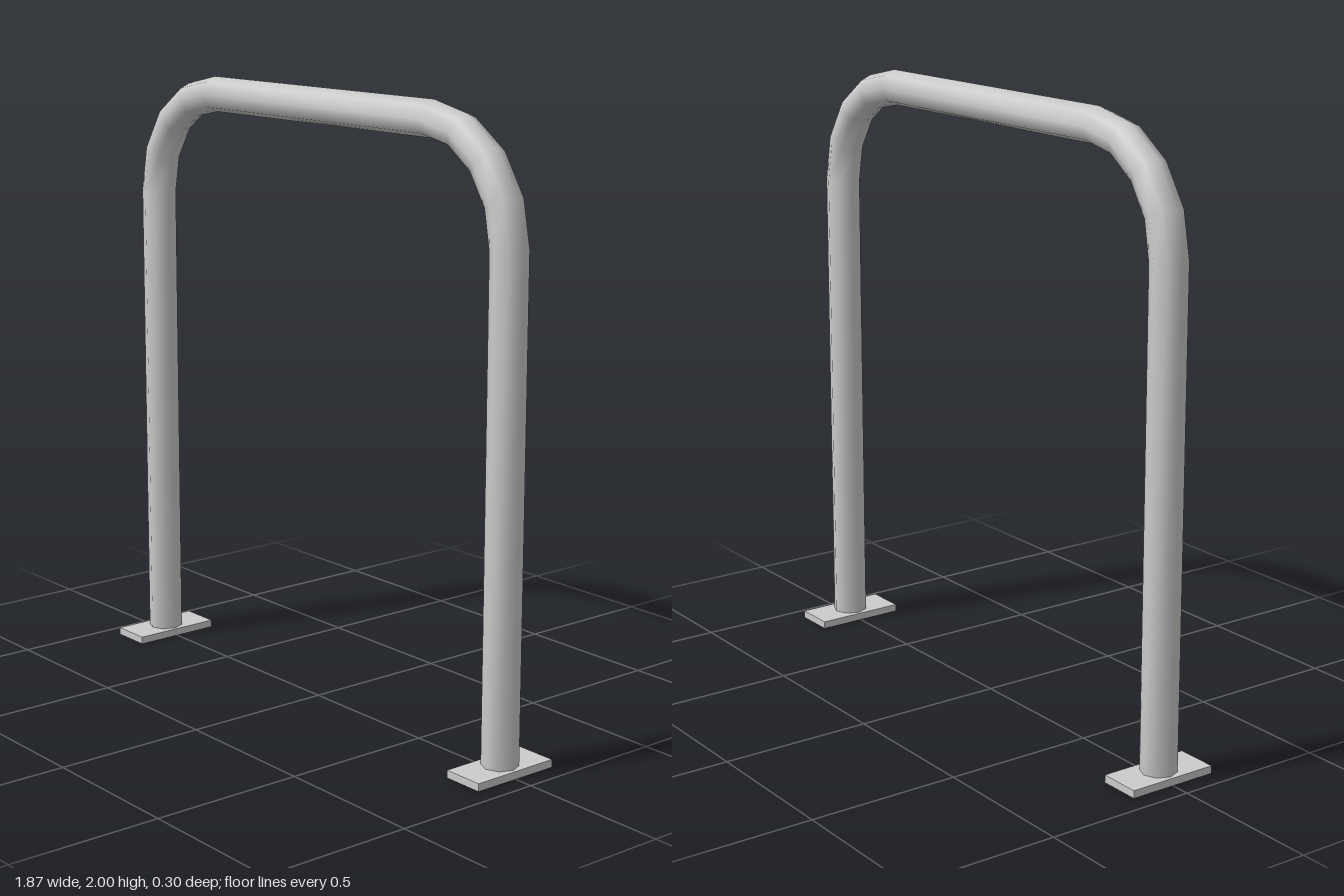
import * as THREE from 'three';

const LEG_X = 0.867, TOP_Y = 1.942, TUBE_R = 0.058, SIDES = 8, PLATE_H = 0.025;

// Centre line of the hoop: leg, four-segment bend, top bar, bend, leg
function hoopPath() {
  const half = [new THREE.Vector2(LEG_X, 0.01)];
  for (let i = 0; i <= 4; i++) {
    const a = (i / 4) * Math.PI / 2;
    half.push(new THREE.Vector2(0.532 + 0.335 * Math.cos(a), 1.59 + 0.352 * Math.sin(a)));
  }
  return [...half, ...half.map(p => new THREE.Vector2(-p.x, p.y)).reverse()];
}

// Sweep an octagonal section along the path with mitred joints
function sweptTube(path) {
  const positions = [], index = [];
  path.forEach((p, i) => {
    const before = p.clone().sub(path[Math.max(i - 1, 0)]).normalize();
    const after = path[Math.min(i + 1, path.length - 1)].clone().sub(p).normalize();
    const t = before.add(after).normalize();
    for (let s = 0; s < SIDES; s++) {
      const a = (s / SIDES) * Math.PI * 2;
      const out = TUBE_R * Math.cos(a);
      positions.push(p.x + t.y * out, p.y - t.x * out, TUBE_R * Math.sin(a));
      if (i === 0) continue;
      const n = (s + 1) % SIDES, r0 = (i - 1) * SIDES, r1 = i * SIDES;
      index.push(r0 + s, r1 + s, r0 + n, r0 + n, r1 + s, r1 + n);
    }
  });
  const geo = new THREE.BufferGeometry();
  geo.setAttribute('position', new THREE.Float32BufferAttribute(positions, 3));
  geo.setIndex(index);
  geo.computeVertexNormals();
  return geo;
}

export function createModel() {
  const group = new THREE.Group();
  group.name = 'bikeRack';
  const metal = new THREE.MeshStandardMaterial({ color: 0xcccccc, side: THREE.DoubleSide });

  // Bent tube
  const hoop = new THREE.Mesh(sweptTube(hoopPath()), metal);
  hoop.name = 'hoop';
  group.add(hoop);

  // Base plate under each leg
  for (const [side, name] of [[1, 'leftBasePlate'], [-1, 'rightBasePlate']]) {
    const plate = new THREE.Mesh(new THREE.BoxGeometry(0.138, PLATE_H, 0.304), metal);
    plate.position.set(side * LEG_X, PLATE_H / 2, 0);
    plate.name = name;
    group.add(plate);
  }
  return group;
}
